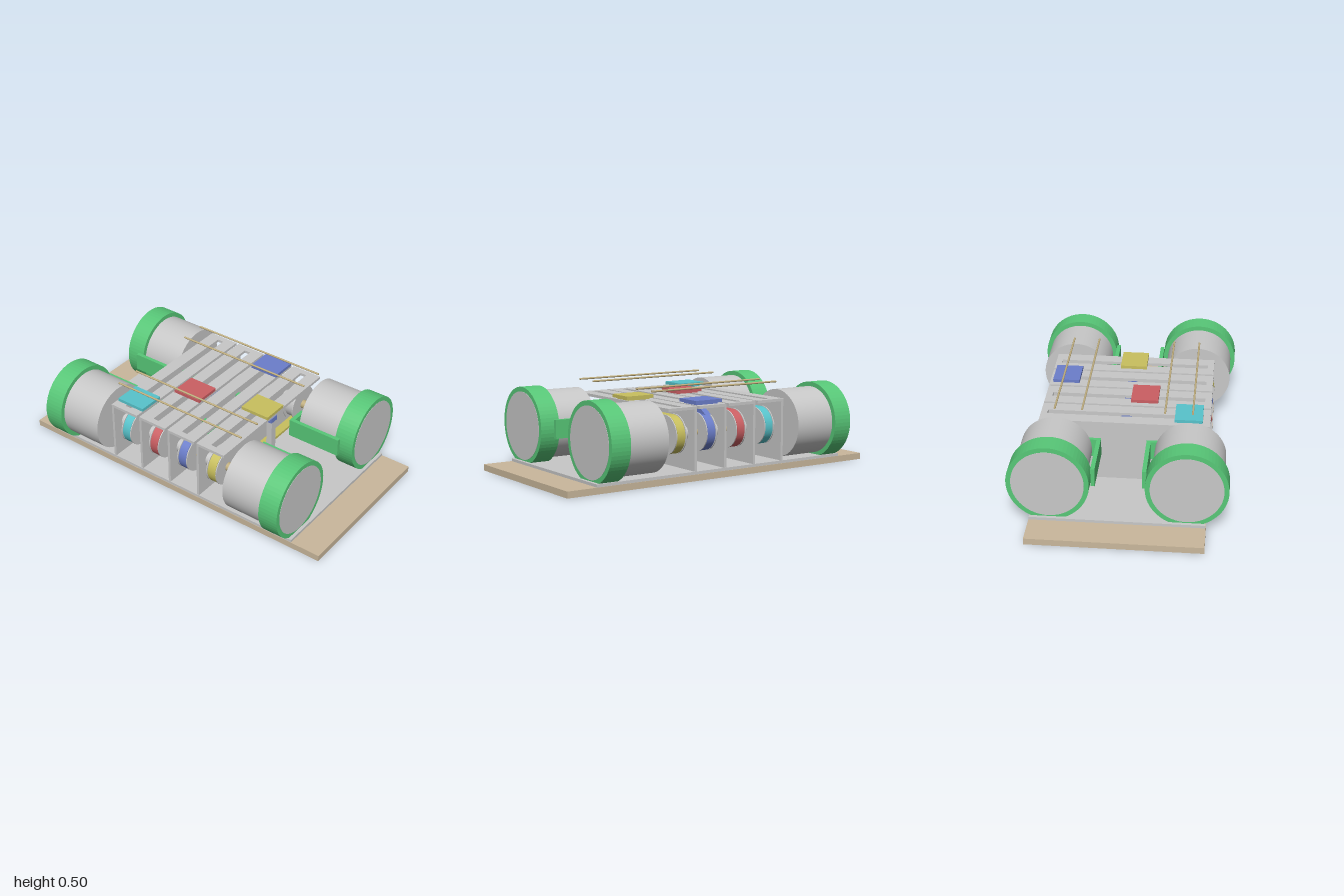
import * as THREE from 'three';

export function createModel() {
  const root = new THREE.Group();
  root.name = 'beltSliderRig';
  const mat = (name, color) => {
    const m = new THREE.MeshStandardMaterial({ color });
    m.name = name;
    return m;
  };
  const wood = mat('wood', 0xcab89c), grey = mat('grey', 0xc8c8c8), green = mat('green', 0x58c878);
  const yellow = mat('yellow', 0xc9c05e), blue = mat('blue', 0x6b7ecb);
  const red = mat('red', 0xcb5f63), cyan = mat('cyan', 0x58c4cc), brass = mat('brass', 0xc2b080);

  const add = (name, geo, m, x = 0, y = 0, z = 0, parent = root) => {
    const mesh = new THREE.Mesh(geo, m);
    mesh.name = name;
    mesh.position.set(x, y, z);
    parent.add(mesh);
    return mesh;
  };
  // Box from its minimum and maximum corners
  const box = (name, m, x0, x1, y0, y1, z0, z1, parent) =>
    add(name, new THREE.BoxGeometry(x1 - x0, y1 - y0, z1 - z0), m,
      (x0 + x1) / 2, (y0 + y1) / 2, (z0 + z1) / 2, parent);
  // Cylinder along z
  const rod = (name, m, r, x, y, z0, z1, parent, sides = 48) =>
    add(name, new THREE.CylinderGeometry(r, r, z1 - z0, sides).rotateX(Math.PI / 2), m,
      x, y, (z0 + z1) / 2, parent);
  // Flat shape with depth, centred on z
  const slab = (shape, depth) => new THREE.ExtrudeGeometry(shape,
    { depth, bevelEnabled: false, curveSegments: 32 }).translate(0, 0, -depth / 2);

  // Board and base plate
  box('board', wood, -0.47, 0.47, 0, 0.036, -1, 1);
  box('basePlate', grey, -0.468, 0.468, 0.036, 0.052, -0.825, 0.825);

  const ax = 0.366, ay = 0.252;

  // Four drum motors with green collars and angled brackets
  const ringShape = new THREE.Shape().absarc(0, 0, 0.22, 0, Math.PI * 2);
  ringShape.holes.push(new THREE.Path().absarc(0, 0, 0.193, 0, Math.PI * 2, true));
  const collarGeo = new THREE.ExtrudeGeometry(ringShape,
    { depth: 0.115, bevelEnabled: false, curveSegments: 32 }).translate(0, 0, -0.0575);
  for (const sx of [-1, 1]) {
    for (const sz of [-1, 1]) {
      const motor = new THREE.Group();
      motor.name = 'motor';
      root.add(motor);
      const span = (a, b) => (sz > 0 ? [a, b] : [-b, -a]);
      const side = (a, b) => (sx > 0 ? [a, b] : [-b, -a]);
      rod('drum', grey, 0.194, sx * ax, ay, ...span(0.44, 0.808), motor, 64);
      add('collar', collarGeo, green, sx * ax, ay, sz * 0.749, motor);
      box('bracketArm', green, ...side(0.125, 0.148), 0.2, 0.305, ...span(0.402, 0.725), motor);
      box('bracketFoot', green, ...side(0.148, 0.242), 0.2, 0.305, ...span(0.402, 0.426), motor);
    }
    rod('shaft', brass, 0.025, sx * ax, ay, -0.445, 0.445, root, 24);
    // Inner green stays
    box('innerStay', green, sx * 0.16 - 0.015, sx * 0.16 + 0.015, 0.2, 0.305, 0.01, 0.18);
    box('innerStay', green, sx * 0.16 - 0.015, sx * 0.16 + 0.015, 0.2, 0.305, -0.39, -0.26);
    // Overhead guide rods
    for (const x of [0.224, 0.373]) rod('guideRod', brass, 0.0055, sx * x, 0.492, -0.425, 0.425, root, 10);
  }

  // Slotted top plate, lying flat
  const rect = (C, x, z) => {
    const s = new C();
    s.moveTo(-x, -z);
    s.lineTo(x, -z);
    s.lineTo(x, z);
    s.lineTo(-x, z);
    s.closePath();
    return s;
  };
  const topShape = rect(THREE.Shape, 0.466, 0.092);
  topShape.holes.push(rect(THREE.Path, 0.43, 0.019));
  const topGeo = slab(topShape, 0.016).rotateX(Math.PI / 2);

  // Closed belt loop around both pulleys
  const loop = (C, r) => {
    const s = new C();
    s.absarc(ax, 0, r, -Math.PI / 2, Math.PI / 2);
    s.absarc(-ax, 0, r, Math.PI / 2, Math.PI * 1.5);
    s.closePath();
    return s;
  };
  const beltShape = loop(THREE.Shape, 0.106);
  beltShape.holes.push(loop(THREE.Path, 0.091));
  const beltGeo = slab(beltShape, 0.05);

  // Raised belt clamp below each slider
  const clampShape = new THREE.Shape([[-0.07, 0.35], [0.07, 0.35], [0.025, 0.378], [-0.025, 0.378]]
    .map(([x, y]) => new THREE.Vector2(x, y)));
  const clampGeo = slab(clampShape, 0.036);

  // Four stages: depth position, colour, slider position
  const stages = [[0.3, yellow, 0], [0.1, blue, 0.37], [-0.1, red, -0.095], [-0.3, cyan, -0.35]];
  for (const [z, m, sx] of stages) {
    const stage = new THREE.Group();
    stage.name = 'stage';
    stage.position.z = z;
    root.add(stage);
    add('topPlate', topGeo, grey, 0, 0.398, -0.013, stage);
    box('backWall', grey, -0.466, 0.466, 0.052, 0.39, -0.105, -0.09, stage);
    box('frontPost', grey, -0.02, 0.02, 0.052, 0.36, 0.045, 0.08, stage);
    box('sensor', blue, -0.027, 0.027, 0.36, 0.389, 0.045, 0.082, stage);

    add('belt', beltGeo, m, 0, ay, 0, stage);
    for (const x of [-ax, ax]) {
      rod('pulley', grey, 0.09, x, ay, -0.03, 0.03, stage);
      for (const s of [-1, 1]) rod('flange', grey, 0.108, x, ay, s * 0.031 - 0.003, s * 0.031 + 0.003, stage);
      rod('hub', grey, 0.042, x, ay, -0.09, -0.03, stage, 32);
    }

    const slider = new THREE.Group();
    slider.name = 'slider';
    slider.position.x = sx;
    stage.add(slider);
    box('sliderTop', m, -0.076, 0.076, 0.414, 0.432, -0.088, 0.088, slider);
    box('sliderFoot', m, -0.06, 0.06, 0.406, 0.414, -0.07, 0.07, slider);
    box('sliderNeck', m, -0.025, 0.025, 0.375, 0.407, -0.017, 0.017, slider);
    add('beltClamp', clampGeo, m, 0, 0, 0, slider);
  }
  return root;
}
